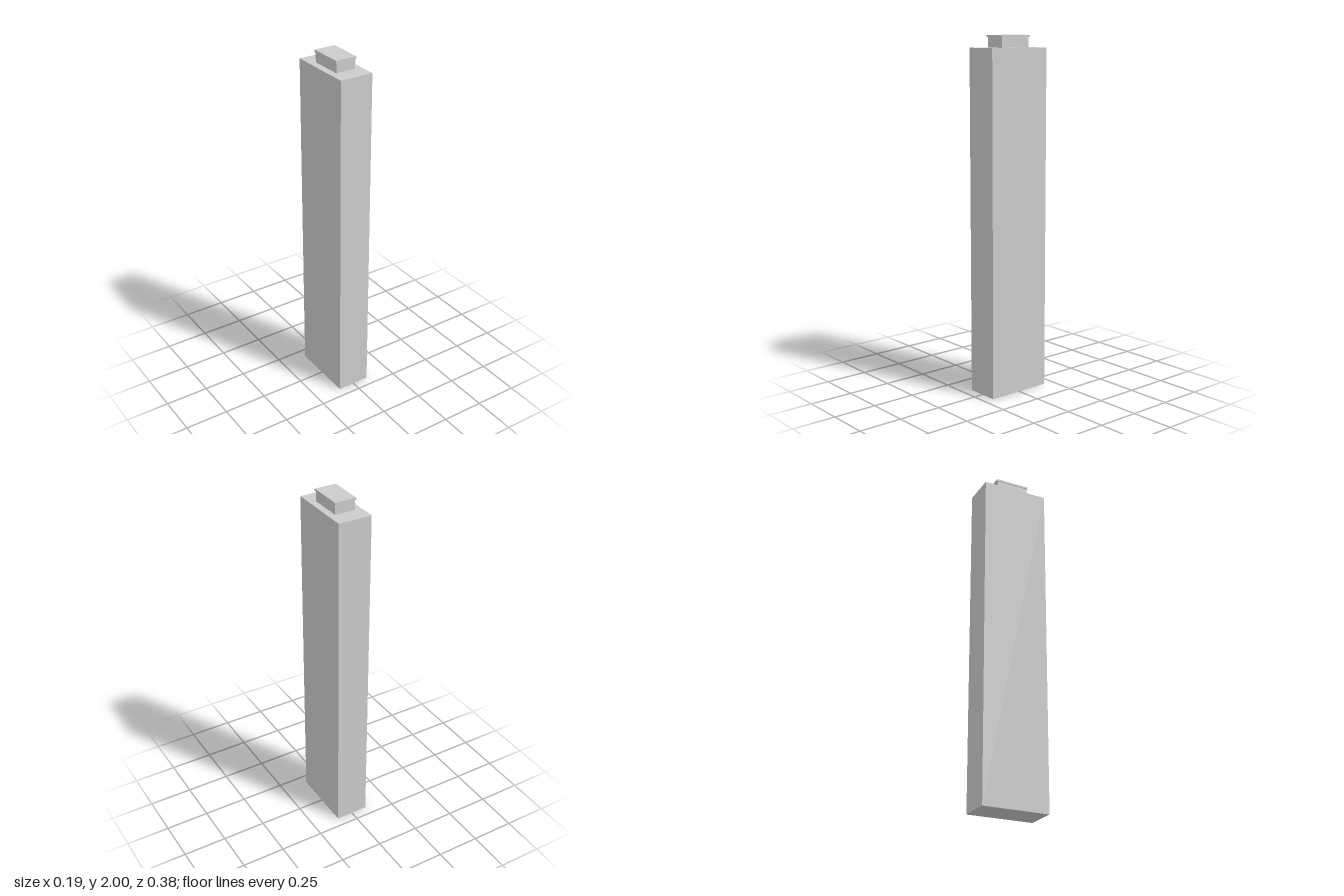
import * as THREE from 'three';

export function createModel() {
  const model = new THREE.Group();
  const material = new THREE.MeshStandardMaterial({ color: 0xcccccc, flatShading: true });

  // Box given by its width, depth, bottom and top
  const addBlock = (name, width, depth, bottom, top) => {
    const mesh = new THREE.Mesh(new THREE.BoxGeometry(width, top - bottom, depth), material);
    mesh.position.y = (bottom + top) / 2;
    mesh.name = name;
    model.add(mesh);
  };

  // Tall shaft, narrower neck and thin overhanging cap
  addBlock('shaft', 0.192, 0.385, 0, 1.932);
  addBlock('neck', 0.116, 0.19, 1.932, 1.988);
  addBlock('cap', 0.124, 0.201, 1.988, 2);

  return model;
}
